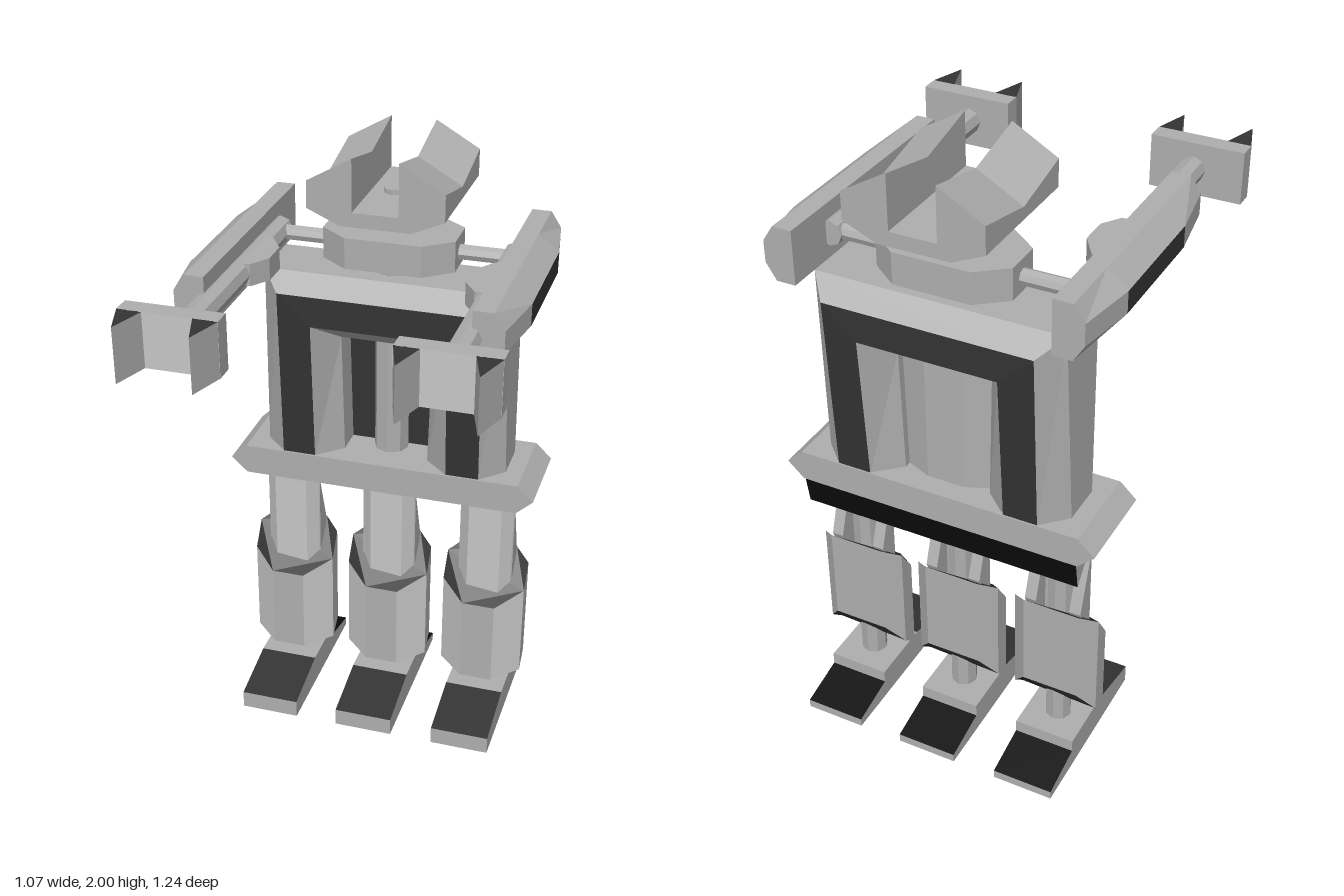
import * as THREE from 'three';

const std = (name, color) => {
  const m = new THREE.MeshStandardMaterial({ color });
  m.name = name;
  return m;
};
const GREY = 0, DARK = 1, BLACK = 2, LIGHT = 3;
const ZC = -0.36; // depth of the body's centre plane

export function createModel() {
  const mats = [std('grey', 0xaeaeae), std('charcoal', 0x333333), std('black', 0x0b0b0b), std('lightGrey', 0xc6c6c6)];
  const root = new THREE.Group();
  root.name = 'robot';

  // Flat-faced solid through matching rings of points; pick(segment, edge) chooses each face's colour.
  // The caps are segment 'start' and 'end'; drop is the axis left out when they are triangulated.
  function loft(name, parent, rings, drop, pick = () => GREY) {
    const buckets = [[], [], [], []];
    const n = rings[0].length;
    let volume = 0;
    const v = (p) => new THREE.Vector3(...p);
    const tri = (m, a, b, c) => {
      volume += v(a).dot(v(b).cross(v(c)));
      buckets[m].push([a, b, c]);
    };
    for (let s = 0; s < rings.length - 1; s++) {
      for (let i = 0; i < n; i++) {
        const j = (i + 1) % n, m = pick(s, i);
        tri(m, rings[s][i], rings[s][j], rings[s + 1][j]);
        tri(m, rings[s][i], rings[s + 1][j], rings[s + 1][i]);
      }
    }
    const flat = rings[0].map((p) => new THREE.Vector2(...p.filter((_, k) => k !== drop)));
    const ccw = THREE.ShapeUtils.area(flat) > 0;
    const order = flat.map((_, i) => (ccw ? i : n - 1 - i));
    for (const f of THREE.ShapeUtils.triangulateShape(order.map((i) => flat[i]), [])) {
      let [a, b, c] = f.map((i) => order[i]);
      if (!ccw) [a, c] = [c, a];
      tri(pick('start'), rings[0][c], rings[0][b], rings[0][a]);
      const e = rings[rings.length - 1];
      tri(pick('end'), e[a], e[b], e[c]);
    }
    const pos = [], geo = new THREE.BufferGeometry();
    buckets.forEach((list, m) => {
      if (!list.length) return;
      geo.addGroup(pos.length / 3, list.length * 3, m);
      for (const [a, b, c] of list) pos.push(...a, ...(volume > 0 ? b : c), ...(volume > 0 ? c : b));
    });
    geo.setAttribute('position', new THREE.Float32BufferAttribute(pos, 3));
    geo.computeVertexNormals();
    const mesh = new THREE.Mesh(geo, mats);
    mesh.name = name;
    parent.add(mesh);
    return mesh;
  }

  // Eight-sided rod between two points
  function rod(name, parent, a, b, r) {
    const from = new THREE.Vector3(...a), to = new THREE.Vector3(...b);
    const d = to.clone().sub(from);
    const geo = new THREE.CylinderGeometry(r, r, d.length(), 8).toNonIndexed();
    geo.computeVertexNormals();
    const mesh = new THREE.Mesh(geo, mats[GREY]);
    mesh.name = name;
    mesh.position.copy(from).add(to).multiplyScalar(0.5);
    mesh.quaternion.setFromUnitVectors(new THREE.Vector3(0, 1, 0), d.normalize());
    parent.add(mesh);
  }

  // Head: horned block whose horns dip halfway back
  const headRing = (z, dip) => [
    [-0.11, 1.79], [0.11, 1.79], [0.212, 1.835], [0.212, 1.92 - dip], [0.072, 2 - dip],
    [0.072, 1.835], [-0.072, 1.835], [-0.072, 2 - dip], [-0.212, 1.92 - dip], [-0.212, 1.835],
  ].map(([x, y]) => [x, y, z]);
  loft('head', root, [headRing(-0.15, 0), headRing(ZC, 0.047), headRing(-0.575, 0)], 2);
  rod('neck', root, [0, 1.7, ZC], [0, 1.85, ZC], 0.032);

  // Collar block and spine
  const collar = (y) => [[-0.21, -0.3], [-0.12, -0.23], [0.12, -0.23], [0.21, -0.3], [0.21, -0.42], [0.12, -0.49], [-0.12, -0.49], [-0.21, -0.42]]
    .map(([x, z]) => [x, y, z]);
  loft('collar', root, [collar(1.62), collar(1.72)], 1);
  rod('spine', root, [0, 0.94, ZC], [0, 1.63, ZC], 0.057);

  // Torso: bevelled arch with dark front and back faces
  const archHalf = [ // x at foot, x at top, y at top, depth at foot, depth at top
    [0.402, 0.39, 1.58, 0.07, 0.1],
    [0.328, 0.328, 1.53, 0.143, 0.174],
    [0.22, 0.22, 1.43, 0.143, 0.174],
    [0.14, 0.15, 1.36, 0.07, 0.07],
  ];
  const arch = [
    ...archHalf.map((p) => [...p, 1]),
    ...archHalf.slice().reverse().map((p) => [...p, -1]),
  ];
  const foot = (s) => arch.map(([xb, , , d, , f]) => [s * xb, 0.95, ZC + f * d]);
  const corner = (s) => arch.map(([, xt, y, , d, f]) => [s * xt, y, ZC + f * d]);
  loft('torsoArch', root, [foot(-1), corner(-1), corner(1), foot(1)], 1, (s, e) => (e === 1 || e === 5 ? DARK : GREY));

  // Panel closing the arch: dark inside, grey outside
  const panel = (y) => [[-0.16, -0.4], [-0.06, -0.44], [0.06, -0.44], [0.16, -0.4], [0.16, -0.385], [-0.16, -0.385]]
    .map(([x, z]) => [x, y, z]);
  loft('backPanel', root, [panel(0.95), panel(1.38)], 1, (s, e) => (e === 4 ? DARK : GREY));

  // Belt with pointed ends, and the wedge hanging behind it
  const belt = (z) => [[-0.51, 0.907], [-0.457, 0.858], [0.457, 0.858], [0.51, 0.907], [0.457, 0.957], [-0.457, 0.957]]
    .map(([x, y]) => [x, y, z]);
  loft('belt', root, [belt(-0.21), belt(-0.508)], 2);
  const skirt = (x) => [[0.86, -0.405], [0.765, -0.49], [0.86, -0.506]].map(([y, z]) => [x, y, z]);
  loft('skirt', root, [skirt(-0.453), skirt(0.453)], 0, (s, e) => (e === 1 ? BLACK : GREY));

  // Arms
  for (const s of [-1, 1]) {
    const arm = new THREE.Group();
    arm.name = s > 0 ? 'leftArm' : 'rightArm';
    root.add(arm);
    // Outer armour with a dark plate in the middle of its outer face
    const ring = ([z, o]) => [[0.39, 1.58], [0.45, 1.58], [o, 1.632], [o, 1.7], [0.45, 1.75], [0.39, 1.75]]
      .map(([x, y]) => [s * x, y, z]);
    loft('armArmour', arm, [[-0.558, 0.483], [-0.36, 0.515], [0.035, 0.515], [0.237, 0.483]].map(ring), 2,
      (seg, e) => (seg === 1 && e === 2 ? DARK : GREY));
    // Bent inner rod from collar to hand
    rod('shoulderRod', arm, [s * 0.18, 1.665, ZC], [s * 0.4, 1.665, ZC], 0.025);
    rod('armRod', arm, [s * 0.38, 1.665, -0.39], [s * 0.38, 1.665, 0.45], 0.04);
    const pad = (y) => [[0.37, -0.24], [0.345, -0.22], [0.3, -0.15], [0.3, -0.06], [0.34, 0], [0.37, 0]]
      .map(([x, z]) => [s * x, y, z]);
    loft('elbowPad', arm, [pad(1.63), pad(1.7)], 1);
    // Hand: palm and two pointed prongs
    const palm = (z) => [[0.242, 1.58], [0.537, 1.58], [0.537, 1.748], [0.242, 1.748]].map(([x, y]) => [s * x, y, z]);
    loft('palm', arm, [palm(0.442), palm(0.502)], 2, (seg) => (seg === 'end' ? LIGHT : GREY));
    for (const x of [0.279, 0.5]) {
      const prong = (y) => [[x - 0.037, 0.5], [x + 0.037, 0.5], [x, 0.615]].map(([px, z]) => [s * px, y, z]);
      loft('prong', arm, [prong(1.58), prong(1.748)], 1, (seg) => (seg === 0 ? GREY : DARK));
    }
  }

  // Three legs
  for (const [i, x] of [-0.342, -0.003, 0.337].entries()) {
    const leg = new THREE.Group();
    leg.name = ['rightLeg', 'middleLeg', 'leftLeg'][i];
    leg.position.x = x;
    root.add(leg);
    rod('legRod', leg, [0, 0.09, ZC], [0, 0.87, ZC], 0.042);

    // Foot with a charcoal toe and a black heel
    const sole = (fx) => [[0, -0.042], [0.06, -0.042], [0.103, -0.25], [0.103, -0.465], [0.062, -0.465], [0.028, -0.62], [0, -0.62]]
      .map(([y, z]) => [fx, y, z]);
    loft('foot', leg, [sole(-0.098), sole(0.098)], 0, (s, e) => (e === 1 ? DARK : e === 4 ? BLACK : GREY));

    // Shin: slanted dark ends
    const half = [ // x, z, low y, high y
      [0.055, -0.26, 0.14, 0.44], [0.14, -0.335, 0.15, 0.48], [0.14, -0.39, 0.2, 0.56], [0.09, -0.432, 0.27, 0.59],
    ];
    const shin = [...half, ...half.slice().reverse().map(([px, ...r]) => [-px, ...r])];
    loft('shin', leg, [shin.map(([px, z, lo]) => [px, lo, z]), shin.map(([px, z, , hi]) => [px, hi, z])], 1,
      (s, e) => (s !== 0 ? DARK : e === 0 || e === 6 ? LIGHT : GREY));

    // Thigh: bevelled front plate and two side fins
    const thigh = (y) => [[-0.055, -0.312], [0.055, -0.312], [0.092, -0.355], [-0.092, -0.355]].map(([px, z]) => [px, y, z]);
    loft('thighPlate', leg, [thigh(0.47), thigh(0.79)], 1, (s, e) => (s === 0 && e !== 2 ? LIGHT : GREY));
    for (const s of [-1, 1]) {
      const fin = (fx) => [[0.79, -0.35], [0.59, -0.42], [0.47, -0.37], [0.47, -0.35]].map(([y, z]) => [s * fx, y, z]);
      loft('thighFin', leg, [fin(0.055), fin(0.092)], 0);
    }
  }
  return root;
}
